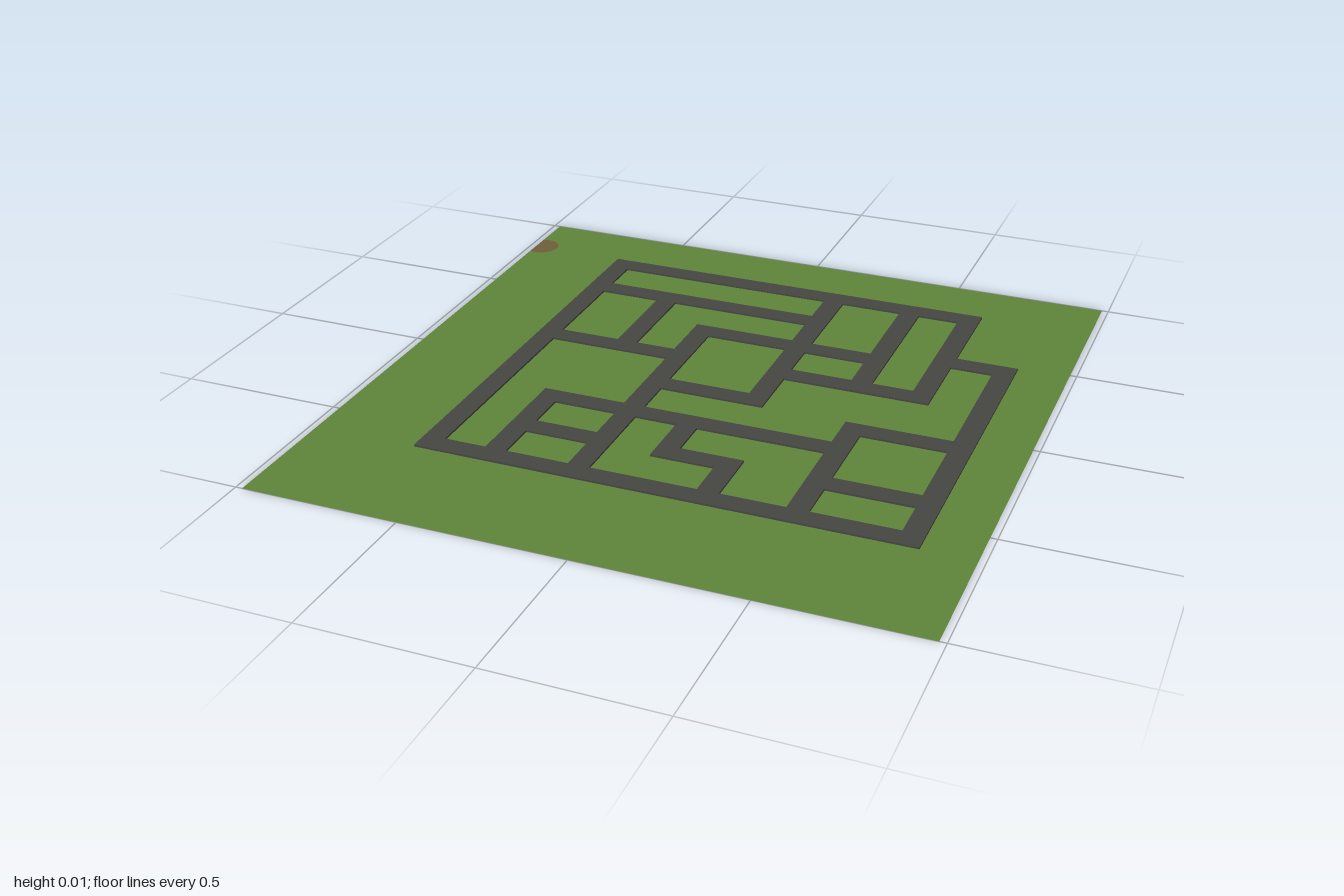
import * as THREE from 'three';

const TILE = 0.0645, X0 = -0.66, Z0 = -0.797, HEIGHT = 0.006;

// Straight road runs in tiles: [first column, first row, last column, last row]
const RUNS = [
  // across
  [0, 0, 19, 0], [0, 3, 12, 3], [19, 5, 22, 5], [7, 6, 16, 6],
  [0, 9, 7, 9], [12, 9, 19, 9], [7, 12, 12, 12], [17, 13, 22, 13],
  [3, 15, 17, 15], [3, 18, 7, 18], [10, 18, 13, 18], [17, 18, 22, 18],
  [0, 21, 22, 21],
  // down
  [0, 0, 0, 21], [3, 15, 3, 21], [4, 3, 4, 9], [7, 6, 7, 21],
  [10, 15, 10, 18], [12, 0, 12, 12], [13, 18, 13, 21], [16, 0, 16, 9],
  [17, 13, 17, 21], [19, 0, 19, 9], [22, 5, 22, 21],
];

// Raised tiles: a top for each tile, and a side wherever no tile adjoins
function roadGeometry() {
  const tiles = new Map();
  for (const [c0, r0, c1, r1] of RUNS)
    for (let c = c0; c <= c1; c++)
      for (let r = r0; r <= r1; r++) tiles.set(`${c},${r}`, [c, r]);

  const positions = [];
  const quad = (a, b, c, d) => positions.push(...a, ...b, ...c, ...a, ...c, ...d);
  for (const [c, r] of tiles.values()) {
    const x = X0 + c * TILE, z = Z0 + r * TILE;
    // corners counter-clockwise as seen from above
    const corners = [[x, z], [x, z + TILE], [x + TILE, z + TILE], [x + TILE, z]];
    const neighbours = [[-1, 0], [0, 1], [1, 0], [0, -1]];
    const at = (i, y) => [corners[i % 4][0], y, corners[i % 4][1]];
    quad(at(0, HEIGHT), at(1, HEIGHT), at(2, HEIGHT), at(3, HEIGHT));
    neighbours.forEach(([dc, dr], i) => {
      if (!tiles.has(`${c + dc},${r + dr}`))
        quad(at(i, 0), at(i + 1, 0), at(i + 1, HEIGHT), at(i, HEIGHT));
    });
  }
  const geometry = new THREE.BufferGeometry();
  geometry.setAttribute('position', new THREE.Float32BufferAttribute(positions, 3));
  geometry.computeVertexNormals();
  return geometry;
}

export function createModel() {
  const model = new THREE.Group();
  const material = (name, color, side = THREE.FrontSide) => {
    const m = new THREE.MeshStandardMaterial({ color, side });
    m.name = name;
    return m;
  };
  const grass = material('grass green', 0x5f863a, THREE.DoubleSide);
  const earth = material('earth brown', 0x70603a, THREE.DoubleSide);
  const asphalt = material('asphalt grey', 0x464643);

  const add = (name, geometry, mat) => {
    const mesh = new THREE.Mesh(geometry, mat);
    mesh.name = name;
    model.add(mesh);
  };
  const flat = (shape) => new THREE.ShapeGeometry(shape, 32).rotateX(-Math.PI / 2);

  // Lawn with a round notch at its left edge, filled by the bare patch
  const W = 0.98, px = -0.96, py = 0.815, radius = 0.057;
  const angle = Math.acos((-W - px) / radius);
  const lawn = new THREE.Shape();
  lawn.moveTo(-W, -1).lineTo(W, -1).lineTo(W, 1).lineTo(-W, 1);
  lawn.absarc(px, py, radius, angle, -angle, true);
  lawn.closePath();
  add('lawn', flat(lawn), grass);

  const patch = new THREE.Shape();
  patch.absarc(px, py, radius, -angle, angle, false);
  patch.closePath();
  add('barePatch', flat(patch), earth);

  add('roadNetwork', roadGeometry(), asphalt);
  return model;
}
